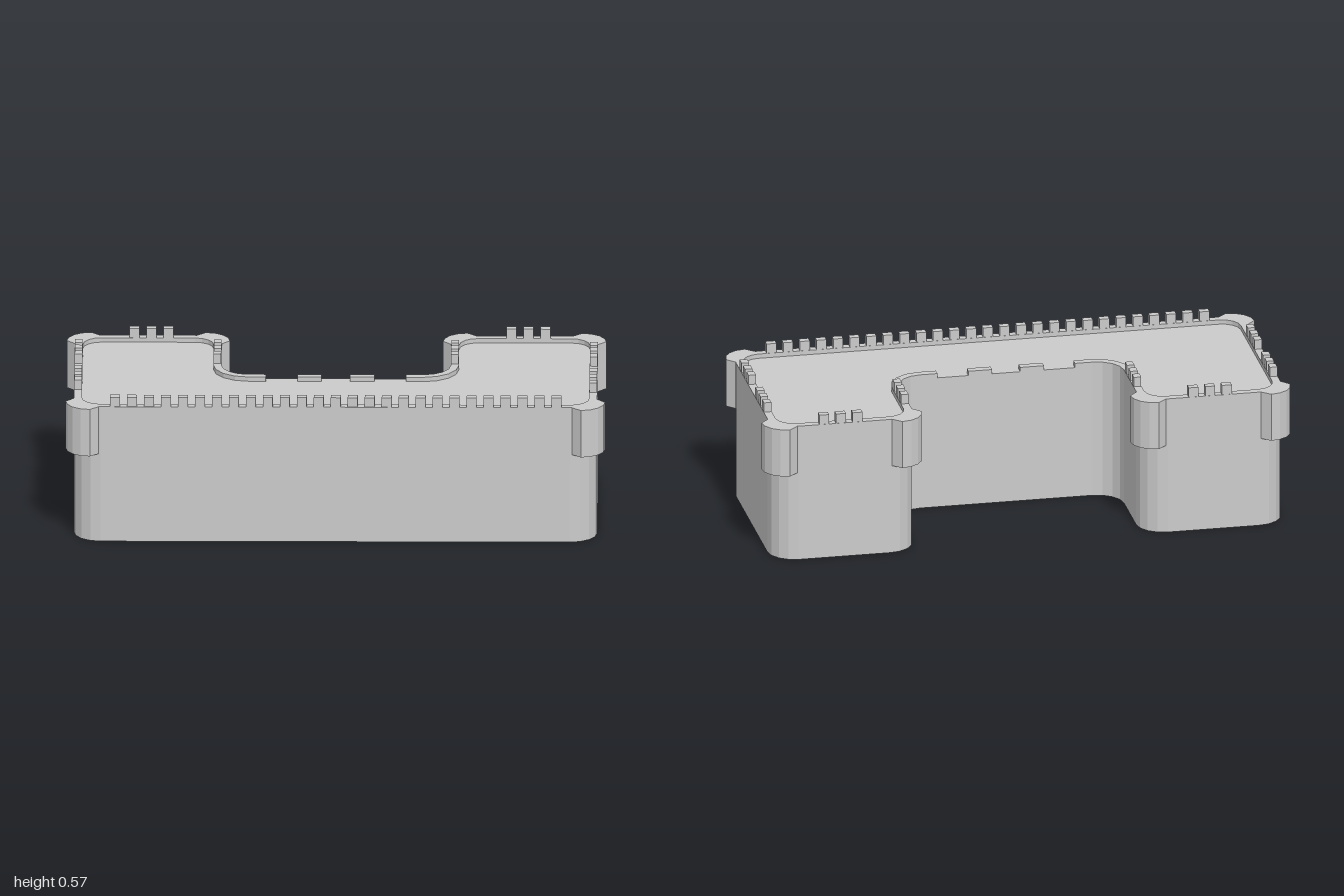
import * as THREE from 'three';

const material = new THREE.MeshStandardMaterial({ color: 0xcccccc });
const WALL = 0.03, FLOOR = 0.513, TOP = 0.53, MERLON_TOP = 0.567;
const OUT_X = 0.97, OUT_Z = 0.391, NOTCH_X = 0.425, NOTCH_Z = 0.033;
const RADIUS = 0.1, GAP_X = 0.26;

// Points on an arc in the (x, z) plane, angles in quarter turns
function arc(cx, cz, r, from, to, segments = 4) {
  return Array.from({ length: segments + 1 }, (_, i) => {
    const a = (from + (to - from) * i / segments) * Math.PI / 2;
    return [cx + r * Math.cos(a), cz + r * Math.sin(a)];
  });
}

// U-shaped plan, inset by t, from one side of the rim gap round to the other
function outline(t) {
  const r = RADIUS - t;
  const half = [
    [GAP_X, NOTCH_Z + t],
    ...arc(NOTCH_X - RADIUS, NOTCH_Z - RADIUS, RADIUS + t, 1, 0),
    ...arc(NOTCH_X + RADIUS, -OUT_Z + RADIUS, r, 2, 3),
    ...arc(OUT_X - RADIUS, -OUT_Z + RADIUS, r, 3, 4),
    ...arc(OUT_X - RADIUS, OUT_Z - RADIUS, r, 0, 1),
  ];
  return [...half, ...half.map(([x, z]) => [-x, z]).reverse()];
}

// Plan points as a loop wound in the given direction
function loop(plan, clockwise) {
  const pts = plan.map(([x, z]) => new THREE.Vector2(x, -z));
  return THREE.ShapeUtils.isClockWise(pts) === clockwise ? pts : pts.reverse();
}

// Upright prism over a plan, between two heights
function prism(name, plan, y0, y1, hole) {
  const shape = new THREE.Shape(loop(plan, false));
  if (hole) shape.holes.push(new THREE.Path(loop(hole, true)));
  const geometry = new THREE.ExtrudeGeometry(shape, { depth: y1 - y0, bevelEnabled: false });
  geometry.rotateX(-Math.PI / 2).translate(0, y0, 0);
  const mesh = new THREE.Mesh(geometry, material);
  mesh.name = name;
  return mesh;
}

function block(name, x, z, w, d, y0, y1) {
  const mesh = new THREE.Mesh(new THREE.BoxGeometry(w, y1 - y0, d), material);
  mesh.position.set(x, (y0 + y1) / 2, z);
  mesh.name = name;
  return mesh;
}

// Corner turret wrapped round a wall corner; sx and sz point outwards
function turret(x, z, sx, sz) {
  const plan = [
    [0, -0.093], ...arc(-0.06, -0.06, 0.09, 0, 1), [-0.093, 0],
    [-0.093, -0.015], [-0.04, -0.04], [-0.015, -0.093],
  ].map(([a, b]) => [x + a * sx, z + b * sz]);
  return prism('cornerTurret', plan, 0.345, TOP);
}

export function createModel() {
  const model = new THREE.Group();
  model.name = 'castleWalls';
  const outer = outline(0), inner = outline(WALL);

  // Hollow shell, open underneath, with a recessed roof and a raised rim
  model.add(prism('walls', outer, 0, FLOOR, inner));
  model.add(prism('roof', outline(WALL / 2), FLOOR - 0.01, FLOOR));
  model.add(prism('rim', [...outer, ...[...inner].reverse()], FLOOR, TOP));

  // Turrets on all six outward corners
  for (const s of [-1, 1]) {
    model.add(turret(s * OUT_X, OUT_Z, s, 1));
    model.add(turret(s * OUT_X, -OUT_Z, s, -1));
    model.add(turret(s * NOTCH_X, -OUT_Z, -s, -1));
  }

  // Small merlons in rows; start is the low edge of the first one
  const merlons = new THREE.Group();
  merlons.name = 'merlons';
  const W = 0.037, D = 0.028, PITCH = 0.063;
  const row = (alongX, start, fixed, count) => {
    for (let i = 0; i < count; i++) {
      const p = start + W / 2 + i * PITCH;
      merlons.add(alongX
        ? block('merlon', p, fixed, W, D, TOP, MERLON_TOP)
        : block('merlon', fixed, p, D, W, TOP, MERLON_TOP));
    }
  };
  const sideX = OUT_X - WALL / 2, endZ = OUT_Z - WALL / 2, notchX = NOTCH_X + WALL / 2;
  row(true, -0.836, endZ, 27);
  row(true, -0.767, -endZ, 3);
  row(true, 0.63, -endZ, 3);
  row(false, -0.225, sideX, 3);
  row(false, 0.062, sideX, 3);
  row(false, -0.245, -sideX, 3);
  row(false, 0.04, -sideX, 3);
  for (const s of [-1, 1]) row(false, -0.245, s * notchX, 3);
  model.add(merlons);

  // Two wide low blocks in the gap of the rim
  for (const s of [-1, 1]) {
    model.add(block('gapBlock', s * 0.098, NOTCH_Z + WALL / 2, 0.09, WALL, FLOOR, TOP));
  }
  return model;
}
